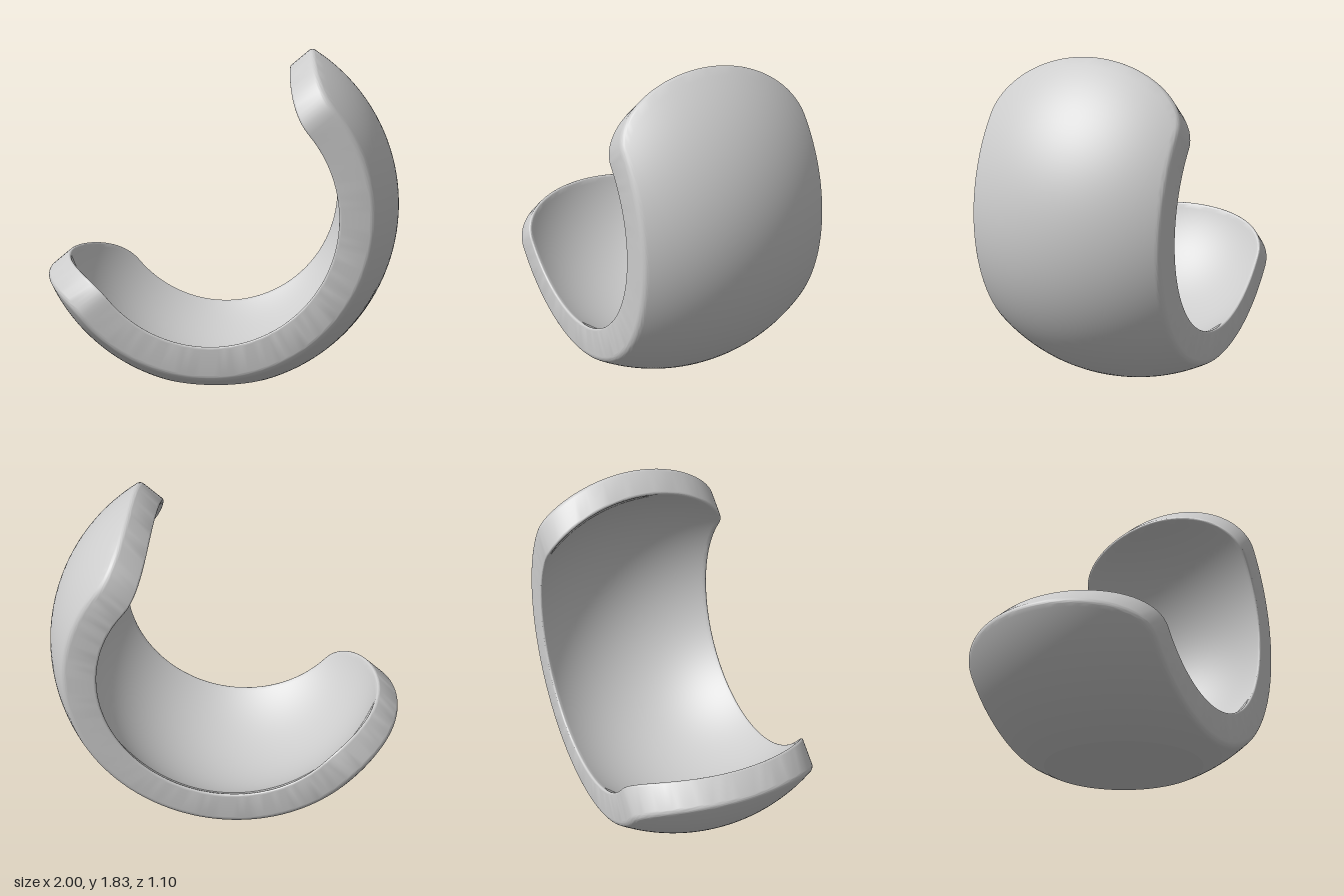
import * as THREE from 'three';
import { toCreasedNormals } from 'three/addons/utils/BufferGeometryUtils.js';

const CENTRE = new THREE.Vector3(-0.04, 0.947, 0);
const OUTER = 1.04;       // outer sphere radius
const INNER = 0.882;      // inner sphere radius
const HALF_WIDTH = 0.552; // flat sides at z = +-HALF_WIDTH
const TIP = 0.335;        // how far the rounded tips reach towards the opening
const TILT = THREE.MathUtils.degToRad(40); // tilt of the opening
const FILLET = 0.02;
const SIDE_STEPS = 72, TIP_STEPS = 44;

// Point on a sphere: angle about the z axis from straight down, and latitude towards z
const onSphere = (radius, angle, lat) => new THREE.Vector3(
  radius * Math.cos(lat) * Math.sin(angle),
  -radius * Math.cos(lat) * Math.cos(angle),
  radius * Math.sin(lat));

// Closed rim on a sphere: two straight sides joined by two elliptical tips
function rim(radius, inset) {
  const w = HALF_WIDTH - inset, reach = TIP - inset, points = [];
  for (const side of [1, -1]) {
    for (let i = 0; i < SIDE_STEPS; i++) {
      const angle = side * Math.PI * (i / SIDE_STEPS - 0.5);
      points.push({ angle: angle + TILT, lat: side * Math.asin(w / radius) });
    }
    for (let i = 0; i < TIP_STEPS; i++) {
      const t = Math.PI * i / TIP_STEPS;
      const z = side * w * Math.cos(t), d = reach * Math.sin(t);
      const across = Math.sqrt(radius * radius - z * z - d * d);
      points.push({ angle: side * Math.atan2(across, -d) + TILT, lat: Math.asin(z / radius) });
    }
  }
  return points;
}

const rimRow = (radius, inset) => rim(radius, inset).map(p => onSphere(radius, p.angle, p.lat));

// Rows spreading over a sphere from a circle around its lowest point out to the rim
function sphereRows(radius, circle, steps) {
  const edge = rim(radius, FILLET), rows = [];
  for (let i = 0; i < steps; i++) {
    rows.push(edge.map(p => {
      const b = Math.atan2(p.lat, p.angle);
      const x = Math.sin(circle) * Math.cos(b), z = Math.sin(circle) * Math.sin(b);
      const a0 = Math.atan2(x, Math.cos(circle)), l0 = Math.asin(z), f = i / steps;
      return onSphere(radius, a0 + (p.angle - a0) * f, l0 + (p.lat - l0) * f);
    }));
  }
  return rows;
}

function shellGeometry() {
  // flat foot, then the outer sphere
  const outerRows = sphereRows(OUTER, Math.acos(CENTRE.y / OUTER), 44);
  const footCentre = outerRows[0].map(() => new THREE.Vector3(0, -CENTRE.y, 0));
  const rows = [footCentre, ...outerRows];

  // rounded outer edge, rim wall, rounded inner edge
  const N = 8;
  const bend = i => {
    const t = i / N * Math.PI / 2;
    return { inset: FILLET * (1 - Math.sin(t)), drop: FILLET * (1 - Math.cos(t)) };
  };
  for (let i = 0; i <= N; i++) rows.push(rimRow(OUTER - bend(i).drop, bend(i).inset));
  for (let i = N; i >= 0; i--) rows.push(rimRow(INNER + bend(i).drop, bend(i).inset));

  // inner sphere, back to its lowest point
  rows.push(...sphereRows(INNER, 0, 48).reverse());

  const columns = rows[0].length, positions = [];
  const triangle = (a, b, c) => {
    if (a.distanceTo(b) > 1e-6 && b.distanceTo(c) > 1e-6 && c.distanceTo(a) > 1e-6)
      positions.push(...a.toArray(), ...b.toArray(), ...c.toArray());
  };
  for (let i = 0; i + 1 < rows.length; i++) {
    for (let j = 0; j < columns; j++) {
      const k = (j + 1) % columns;
      triangle(rows[i][j], rows[i][k], rows[i + 1][k]);
      triangle(rows[i][j], rows[i + 1][k], rows[i + 1][j]);
    }
  }
  const geometry = new THREE.BufferGeometry();
  geometry.setAttribute('position', new THREE.Float32BufferAttribute(positions, 3));
  return toCreasedNormals(geometry, 0.4);
}

export function createModel() {
  const group = new THREE.Group();
  group.name = 'openSphericalCradle';
  const shell = new THREE.Mesh(shellGeometry(), new THREE.MeshStandardMaterial({ color: 0xcccccc }));
  shell.name = 'curvedShell';
  shell.position.copy(CENTRE);
  group.add(shell);
  return group;
}
